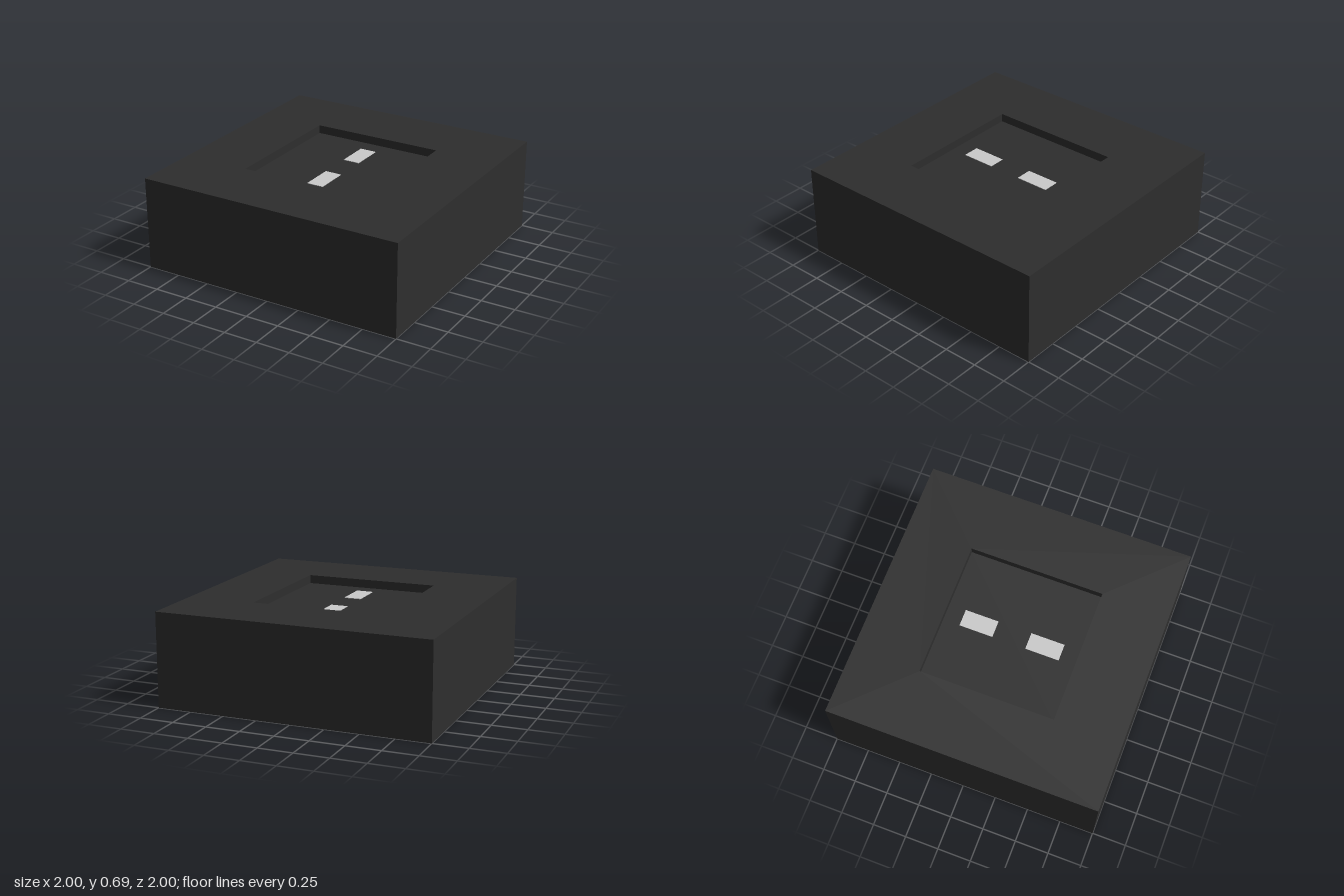
import * as THREE from 'three';

const SIZE = 2, FLOOR = 0.625, RIM = 0.0625, RECESS = 1;

// Square outline centred on the origin
function square(PathType, side) {
  const h = side / 2;
  return new PathType([[-h, -h], [h, -h], [h, h], [-h, h]].map(([x, y]) => new THREE.Vector2(x, y)));
}

export function createModel() {
  const group = new THREE.Group();
  const casing = new THREE.MeshStandardMaterial({ color: 0x2e2e2e });
  casing.name = 'dark casing';
  const metal = new THREE.MeshStandardMaterial({ color: 0xcbcbcb });
  metal.name = 'light contact';

  const add = (name, geometry, material, x, y, z) => {
    const mesh = new THREE.Mesh(geometry, material);
    mesh.name = name;
    mesh.position.set(x, y, z);
    group.add(mesh);
  };

  // Solid block up to the floor of the recess
  add('base', new THREE.BoxGeometry(SIZE, FLOOR, SIZE), casing, 0, FLOOR / 2, 0);

  // Raised rim around the square recess
  const outline = square(THREE.Shape, SIZE);
  outline.holes.push(square(THREE.Path, RECESS));
  const rim = new THREE.ExtrudeGeometry(outline, { depth: RIM, bevelEnabled: false });
  rim.rotateX(-Math.PI / 2);
  add('rim', rim, casing, 0, FLOOR, 0);

  // Two thin contacts lying on the recess floor
  const contact = new THREE.BoxGeometry(0.125, 0.004, 0.25);
  for (const [name, side] of [['frontContact', 1], ['backContact', -1]]) {
    add(name, contact, metal, 0, FLOOR + 0.002, side * 0.25);
  }

  return group;
}
